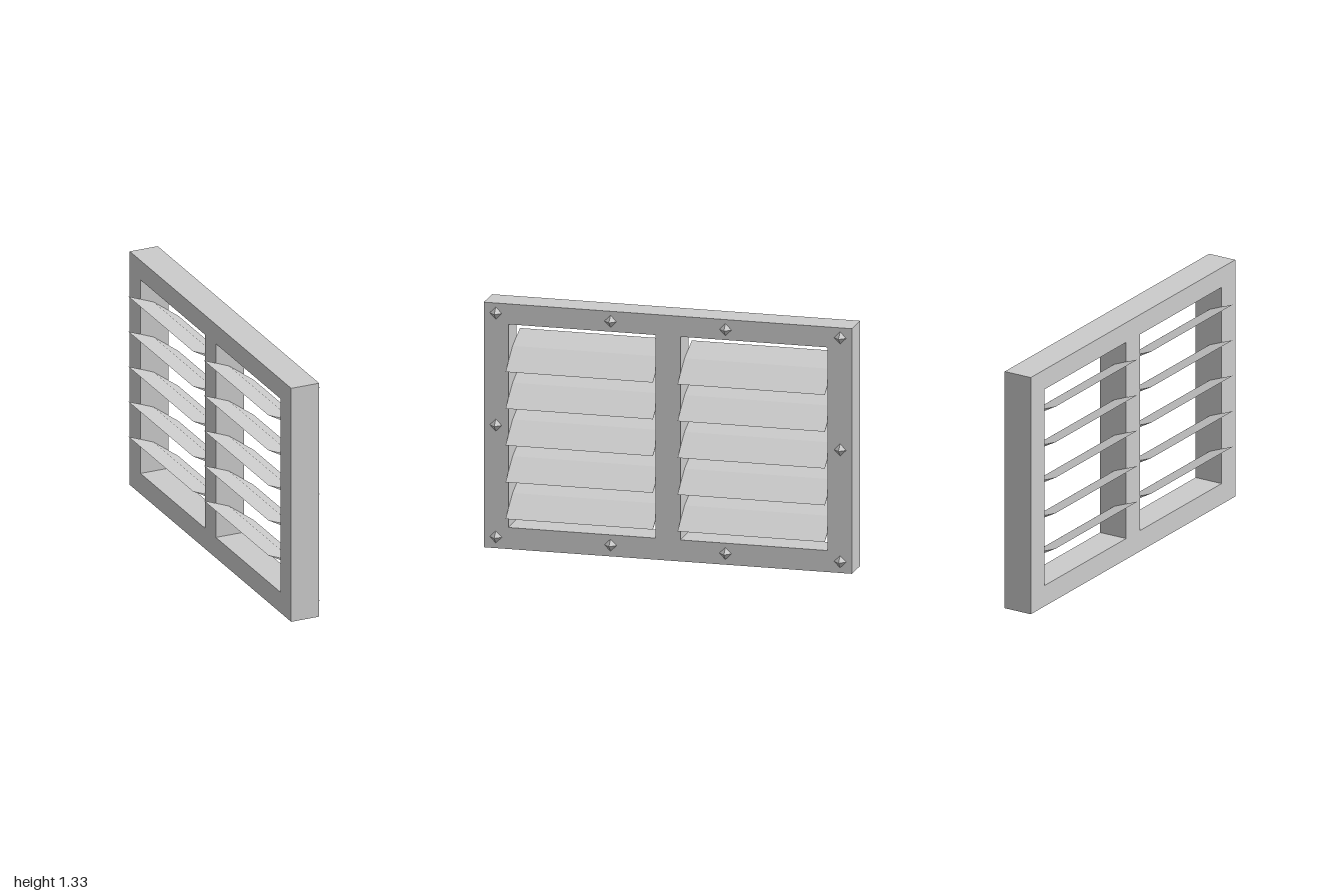
import * as THREE from 'three';

const material = new THREE.MeshStandardMaterial({ color: 0xcccccc, flatShading: true });

// Closed polygon from [x, y] corners
const polygon = (points, Type = THREE.Shape) =>
  new Type(points.map(([x, y]) => new THREE.Vector2(x, y)));

const rectangle = (x0, y0, x1, y1, Type) =>
  polygon([[x0, y0], [x1, y0], [x1, y1], [x0, y1]], Type);

function addMesh(parent, name, geometry, x = 0, y = 0, z = 0) {
  const mesh = new THREE.Mesh(geometry, material);
  mesh.name = name;
  mesh.position.set(x, y, z);
  parent.add(mesh);
}

export function createModel() {
  const model = new THREE.Group();
  model.name = 'louveredVent';

  // Frame with two openings, turned so its thickness runs along x
  const outline = rectangle(-1, 0, 1, 1.333);
  outline.holes.push(
    rectangle(-0.867, 0.117, -0.067, 1.222, THREE.Path),
    rectangle(0.067, 0.117, 0.867, 1.222, THREE.Path)
  );
  const frame = new THREE.ExtrudeGeometry(outline, { depth: 0.162, bevelEnabled: false });
  frame.rotateY(Math.PI / 2);
  addMesh(model, 'frame', frame, -0.076);

  // Sloping slats: flat underneath with a low ridge on top
  const slats = new THREE.Group();
  slats.name = 'slats';
  model.add(slats);
  const section = polygon([[-0.146, 0.162], [0.142, 0], [0, 0.104]]);
  const slat = new THREE.ExtrudeGeometry(section, { depth: 0.8, bevelEnabled: false });
  for (const z of [-0.867, 0.067]) {
    for (let i = 0; i < 5; i++) addMesh(slats, 'slat', slat, 0, 0.178 + i * 0.2, z);
  }

  // Pointed studs around the outer face
  const studs = new THREE.Group();
  studs.name = 'studs';
  model.add(studs);
  const stud = new THREE.OctahedronGeometry(0.033);
  for (const y of [0.061, 0.669, 1.278]) {
    const columns = y === 0.669 ? [-0.935, 0.935] : [-0.935, -0.312, 0.312, 0.935];
    for (const z of columns) addMesh(studs, 'stud', stud, 0.086, y, z);
  }

  return model;
}
